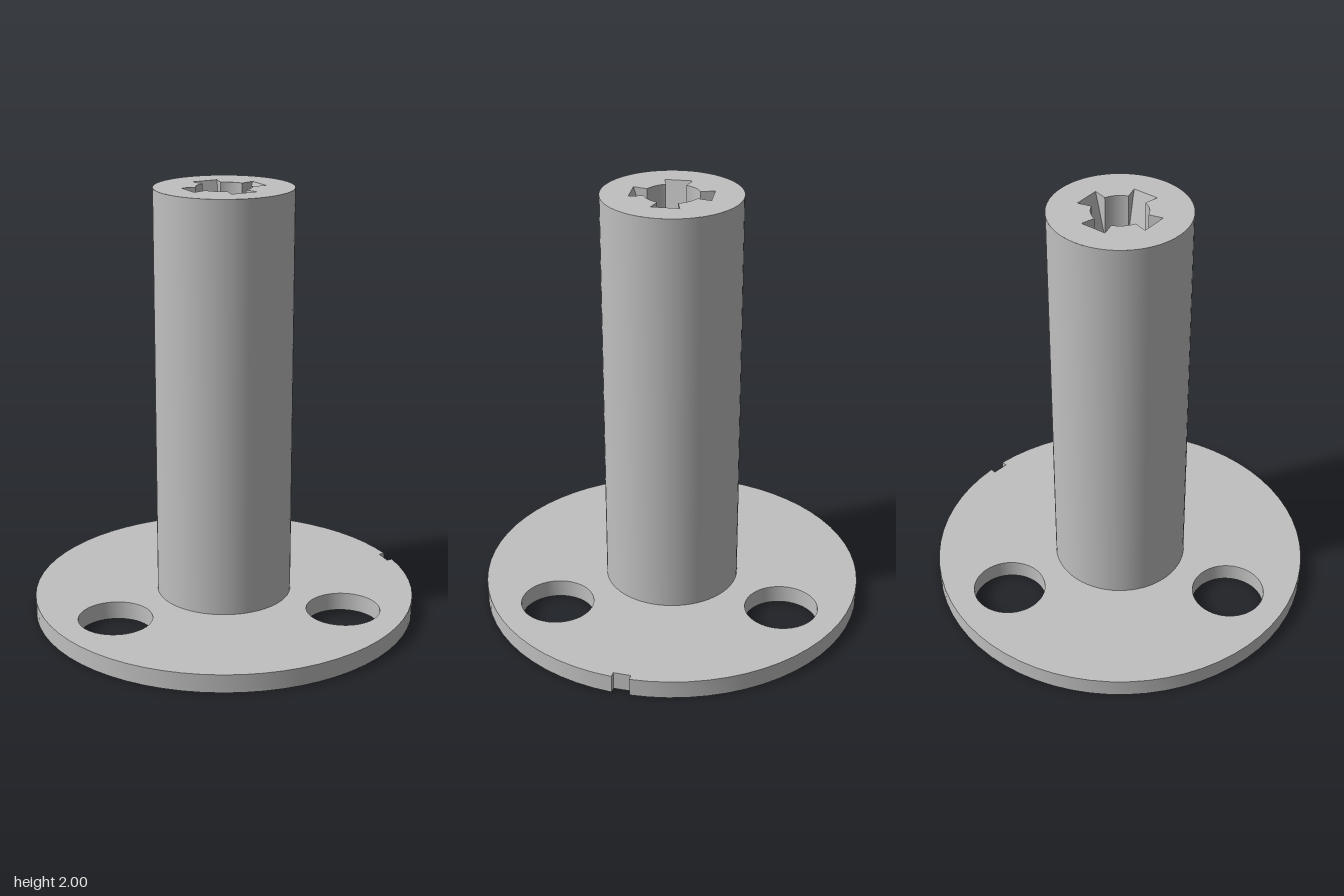
import * as THREE from 'three';
import { toCreasedNormals } from 'three/addons/utils/BufferGeometryUtils.js';

const HEIGHT = 2, PLATE_R = 0.893, PLATE_T = 0.085, SHAFT_R = 0.315;
const BORE_R = 0.125, BORE_DEPTH = 0.2;
const ARM_IN = 0.045, ARM_OUT = 0.062, ARM_X = 0.18; // half widths and reach of a recess arm

export function createModel() {
  const model = new THREE.Group();
  const steel = new THREE.MeshStandardMaterial({ color: 0xc0c0c0, side: THREE.DoubleSide });
  steel.name = 'grey steel';

  const add = (name, geometry, parent = model) => {
    const mesh = new THREE.Mesh(geometry, steel);
    mesh.name = name;
    parent.add(mesh);
    return mesh;
  };

  // Base plate: disc with a rim notch, three bolt holes and a centre hole
  const notchAt = THREE.MathUtils.degToRad(48), notchHalf = 0.045;
  const disc = new THREE.Shape();
  disc.absarc(0, 0, PLATE_R, notchAt + notchHalf, notchAt - notchHalf + Math.PI * 2, false);
  for (const side of [-1, 1]) {
    const a = notchAt + side * notchHalf;
    disc.lineTo(
      PLATE_R * Math.cos(a) - 0.028 * Math.cos(notchAt),
      PLATE_R * Math.sin(a) - 0.028 * Math.sin(notchAt)
    );
  }
  disc.closePath();
  const punch = (x, y, r) => {
    const hole = new THREE.Path();
    hole.absarc(x, y, r, 0, Math.PI * 2, true);
    disc.holes.push(hole);
  };
  for (let i = 0; i < 3; i++) {
    const a = (i * Math.PI * 2) / 3;
    punch(0.605 * Math.cos(a), 0.605 * Math.sin(a), 0.17);
  }
  punch(0, 0, BORE_R);
  const plate = new THREE.ExtrudeGeometry(disc, { depth: PLATE_T, bevelEnabled: false, curveSegments: 32 });
  plate.rotateX(-Math.PI / 2);
  add('basePlate', toCreasedNormals(plate, 0.6));

  // Conical centre hole in the underside
  const cone = new THREE.ConeGeometry(BORE_R, 0.25, 48, 1, true);
  cone.translate(0, 0.125, 0);
  add('undersideCentreHole', cone);

  // Shaft wall
  const wall = new THREE.CylinderGeometry(SHAFT_R, SHAFT_R, HEIGHT - PLATE_T, 64, 1, true);
  wall.translate(0, (HEIGHT + PLATE_T) / 2, 0);
  add('shaft', wall);

  // Shaft top with a cross-shaped drive recess
  const head = new THREE.Group();
  head.name = 'driveHead';
  head.position.y = HEIGHT;
  head.rotation.y = -THREE.MathUtils.degToRad(36.5);
  model.add(head);

  const phi = Math.asin(ARM_IN / BORE_R);
  const innerX = BORE_R * Math.cos(phi);
  const outline = [];
  for (let k = 0; k < 4; k++) {
    const turn = (k * Math.PI) / 2;
    for (const y of [-ARM_OUT, ARM_OUT]) {
      outline.push(new THREE.Vector2(ARM_X, y).rotateAround(new THREE.Vector2(), turn));
    }
    for (let i = 0; i <= 6; i++) {
      const a = turn + THREE.MathUtils.lerp(phi, Math.PI / 2 - phi, i / 6);
      outline.push(new THREE.Vector2(BORE_R * Math.cos(a), BORE_R * Math.sin(a)));
    }
  }
  const face = new THREE.Shape().absarc(0, 0, SHAFT_R, 0, Math.PI * 2, false);
  face.holes.push(new THREE.Path(outline));
  add('shaftTop', new THREE.ShapeGeometry(face, 32).rotateX(-Math.PI / 2), head);

  const floor = new THREE.CircleGeometry(BORE_R, 48).rotateX(-Math.PI / 2);
  floor.translate(0, -BORE_DEPTH, 0);
  add('recessFloor', floor, head);

  // One arm: a floor sloping down to the bore, with two triangular cheeks
  const outer = (s) => [ARM_X, 0, s * ARM_OUT];
  const lip = (s) => [innerX, 0, s * ARM_IN];
  const deep = (s) => [innerX, -BORE_DEPTH, s * ARM_IN];
  const armGeometry = new THREE.BufferGeometry();
  armGeometry.setAttribute('position', new THREE.Float32BufferAttribute([
    outer(1), outer(-1), deep(-1),
    outer(1), deep(-1), deep(1),
    outer(1), deep(1), lip(1),
    outer(-1), lip(-1), deep(-1)
  ].flat(), 3));
  armGeometry.computeVertexNormals();

  // Bore wall between neighbouring arms, facing inward
  const arc = new THREE.CylinderGeometry(
    BORE_R, BORE_R, BORE_DEPTH, 6, 1, true, phi, Math.PI / 2 - 2 * phi
  );
  arc.translate(0, -BORE_DEPTH / 2, 0);

  for (let k = 0; k < 4; k++) {
    add('recessArm', armGeometry, head).rotation.y = (k * Math.PI) / 2;
    add('recessWall', arc, head).rotation.y = (k * Math.PI) / 2;
  }

  return model;
}
